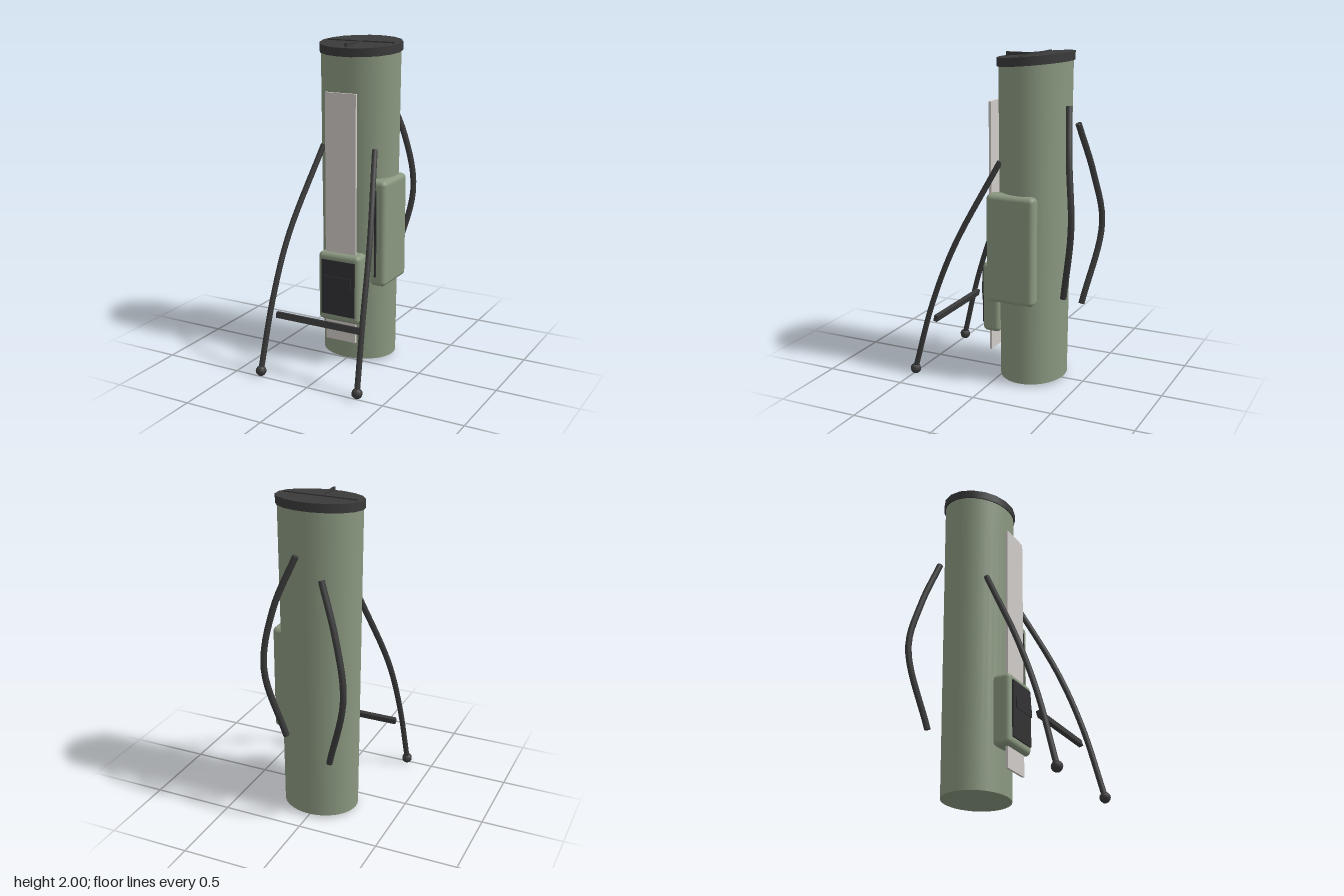
import * as THREE from 'three';
import { RoundedBoxGeometry } from 'three/addons/geometries/RoundedBoxGeometry.js';

const mat = (name, color) => {
  const m = new THREE.MeshStandardMaterial({ color });
  m.name = name;
  return m;
};

export function createModel() {
  const model = new THREE.Group();
  model.name = 'golfBag';
  const green = mat('sageGreen', 0x8a9880);
  const dark = mat('charcoal', 0x3a3a3b);
  const black = mat('blackTrim', 0x323234);
  const grey = mat('lightGrey', 0xd0cbc7);

  const add = (name, geometry, material, x = 0, y = 0, z = 0, parent = model) => {
    const mesh = new THREE.Mesh(geometry, material);
    mesh.name = name;
    mesh.position.set(x, y, z);
    parent.add(mesh);
    return mesh;
  };
  const box = (name, m, w, h, d, x, y, z) => add(name, new THREE.BoxGeometry(w, h, d), m, x, y, z);

  // Elliptical cylinder; the slope raises its upper ring (or both rings) toward the back
  const oval = (rTop, rBottom, y0, y1, sides, squash, slope, slopeBottom) => {
    const g = new THREE.CylinderGeometry(rTop, rBottom, y1 - y0, sides);
    g.rotateY(Math.PI / 2);
    g.scale(1, 1, squash);
    g.translate(0, (y0 + y1) / 2, 0);
    const p = g.attributes.position;
    const middle = (y0 + y1) / 2;
    for (let i = 0; i < p.count; i++) {
      if (slopeBottom || p.getY(i) > middle) p.setY(i, p.getY(i) - p.getZ(i) * slope);
    }
    return g;
  };

  // Bent rod with flat end caps
  const rod = (name, points, radius, parent) => {
    const curve = new THREE.CatmullRomCurve3(points.map((p) => new THREE.Vector3(...p)));
    add(name, new THREE.TubeGeometry(curve, 20, radius, 8), dark, 0, 0, 0, parent);
    for (const t of [0, 1]) {
      const out = curve.getTangent(t).multiplyScalar(t ? 1 : -1);
      const cap = add(name + 'End', new THREE.CircleGeometry(radius, 8), dark, ...curve.getPoint(t).toArray(), parent);
      cap.quaternion.setFromUnitVectors(new THREE.Vector3(0, 0, 1), out);
    }
  };

  // Tapered tube body and slanted top collar
  const axisZ = -0.174;
  add('body', oval(0.25, 0.235, 0.017, 1.935, 36, 0.85, 0.09, false), green, 0, 0, axisZ);
  add('topCollar', oval(0.26, 0.26, 1.927, 1.978, 18, 0.855, 0.09, true), dark, 0, 0, axisZ);

  // Club dividers
  box('crossDivider', dark, 0.45, 0.05, 0.012, 0, 1.96, -0.172);
  box('frontDivider', dark, 0.012, 0.05, 0.19, 0, 1.96, -0.077);

  // Front panel and front pocket
  box('frontPanel', grey, 0.206, 1.55, 0.015, 0, 0.925, 0.077);
  add('frontPocket', new RoundedBoxGeometry(0.285, 0.44, 0.117, 4, 0.03), green, 0, 0.5, 0.058);
  box('frontPocketFlap', black, 0.228, 0.35, 0.009, 0.002, 0.503, 0.121);
  box('frontPocketLabel', black, 0.197, 0.075, 0.005, 0, 0.543, 0.137);

  // Side pocket and its zip
  add('sidePocket', new RoundedBoxGeometry(0.106, 0.66, 0.308, 4, 0.03), green, 0.218, 0.852, -0.125);
  box('sidePocketZip', black, 0.012, 0.54, 0.009, 0.21, 0.855, 0.032);

  // Stand legs with ball feet
  for (const s of [1, -1]) {
    const leg = new THREE.Group();
    leg.name = s > 0 ? 'leftLeg' : 'rightLeg';
    model.add(leg);
    rod('legRod', [
      [s * 0.175, 1.36, -0.023], [s * 0.275, 0.84, 0.235],
      [s * 0.308, 0.47, 0.373], [s * 0.33, 0.038, 0.488],
    ], 0.018, leg);
    add('foot', new THREE.SphereGeometry(0.033, 10, 8), dark, s * 0.33, 0.034, 0.488, leg);
  }

  // Bar joining the legs
  box('standBar', dark, 0.57, 0.038, 0.026, 0, 0.365, 0.366).rotation.x = -0.25;

  // Carrying straps on the back
  rod('leftStrap', [
    [0.045, 1.69, -0.402], [0.165, 1.38, -0.455], [0.215, 1.02, -0.492], [0.12, 0.56, -0.412],
  ], 0.02, model);
  rod('rightStrap', [
    [-0.11, 1.57, -0.4], [-0.225, 1.25, -0.46], [-0.287, 0.93, -0.497], [-0.165, 0.44, -0.418],
  ], 0.02, model);

  return model;
}
